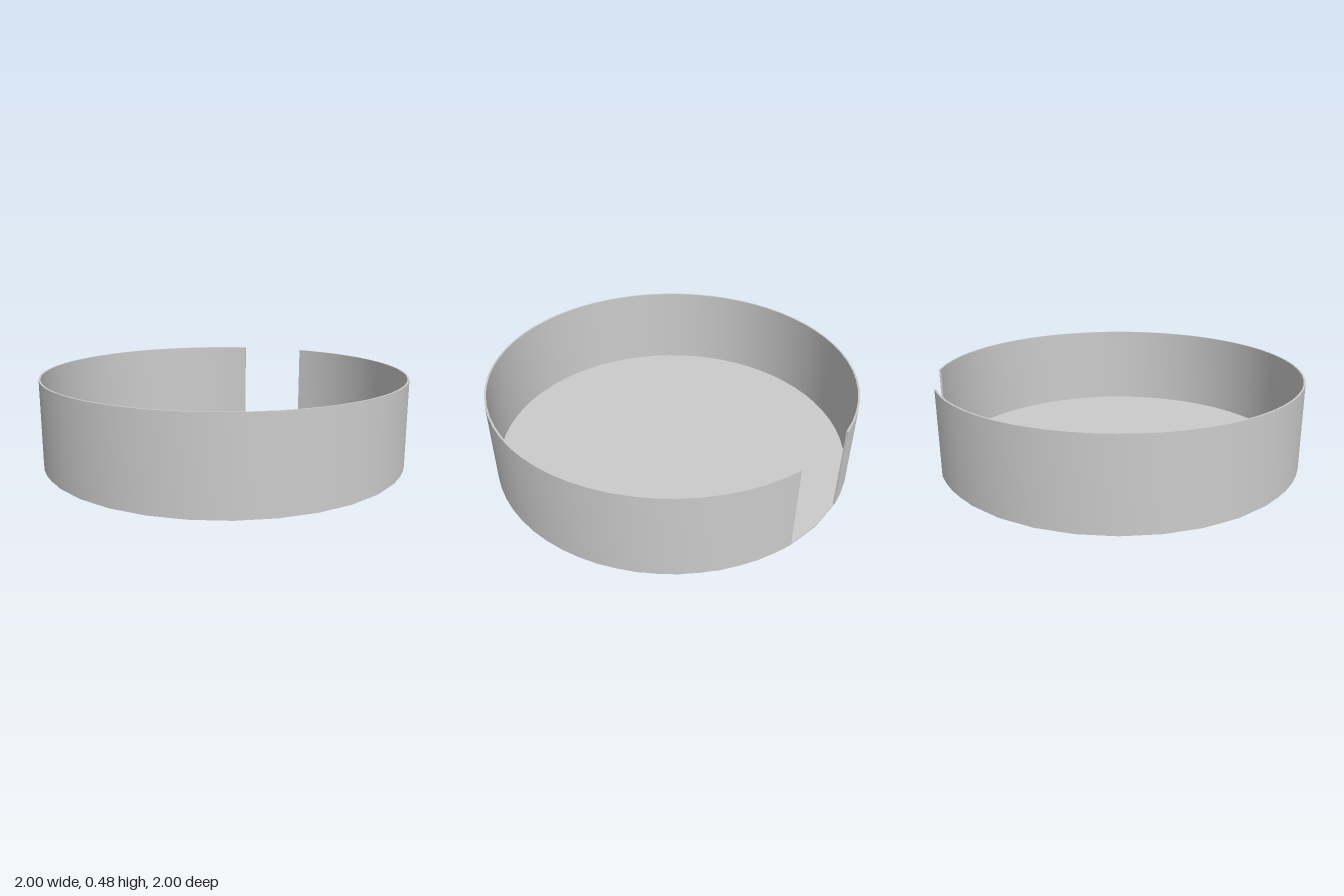
import * as THREE from 'three';
import { toCreasedNormals } from 'three/addons/utils/BufferGeometryUtils.js';

const SIDES = 32;
const FLOOR = 0.008; // floor thickness
const TOP = 0.48;    // rim height

export function createModel() {
  const model = new THREE.Group();
  const material = new THREE.MeshStandardMaterial({ color: 0xcccccc });

  // Thin round floor
  const floor = new THREE.Mesh(new THREE.CylinderGeometry(0.995, 0.995, FLOOR, SIDES), material);
  floor.name = 'floor';
  floor.position.y = FLOOR / 2;
  model.add(floor);

  // Ring wall with a doorway two segments wide at the back
  const half = (2 * Math.PI) / SIDES;
  const start = Math.PI / 2 + half;
  const end = Math.PI / 2 - half + 2 * Math.PI;
  const ring = new THREE.Shape();
  ring.absarc(0, 0, 1, start, end, false);
  ring.absarc(0, 0, 0.99, end, start, true);
  const wallGeometry = new THREE.ExtrudeGeometry(ring, {
    depth: TOP - FLOOR,
    bevelEnabled: false,
    curveSegments: SIDES - 2,
  });
  wallGeometry.rotateX(-Math.PI / 2);
  const wall = new THREE.Mesh(toCreasedNormals(wallGeometry, 0.6), material);
  wall.name = 'wall';
  wall.position.y = FLOOR;
  model.add(wall);

  return model;
}
